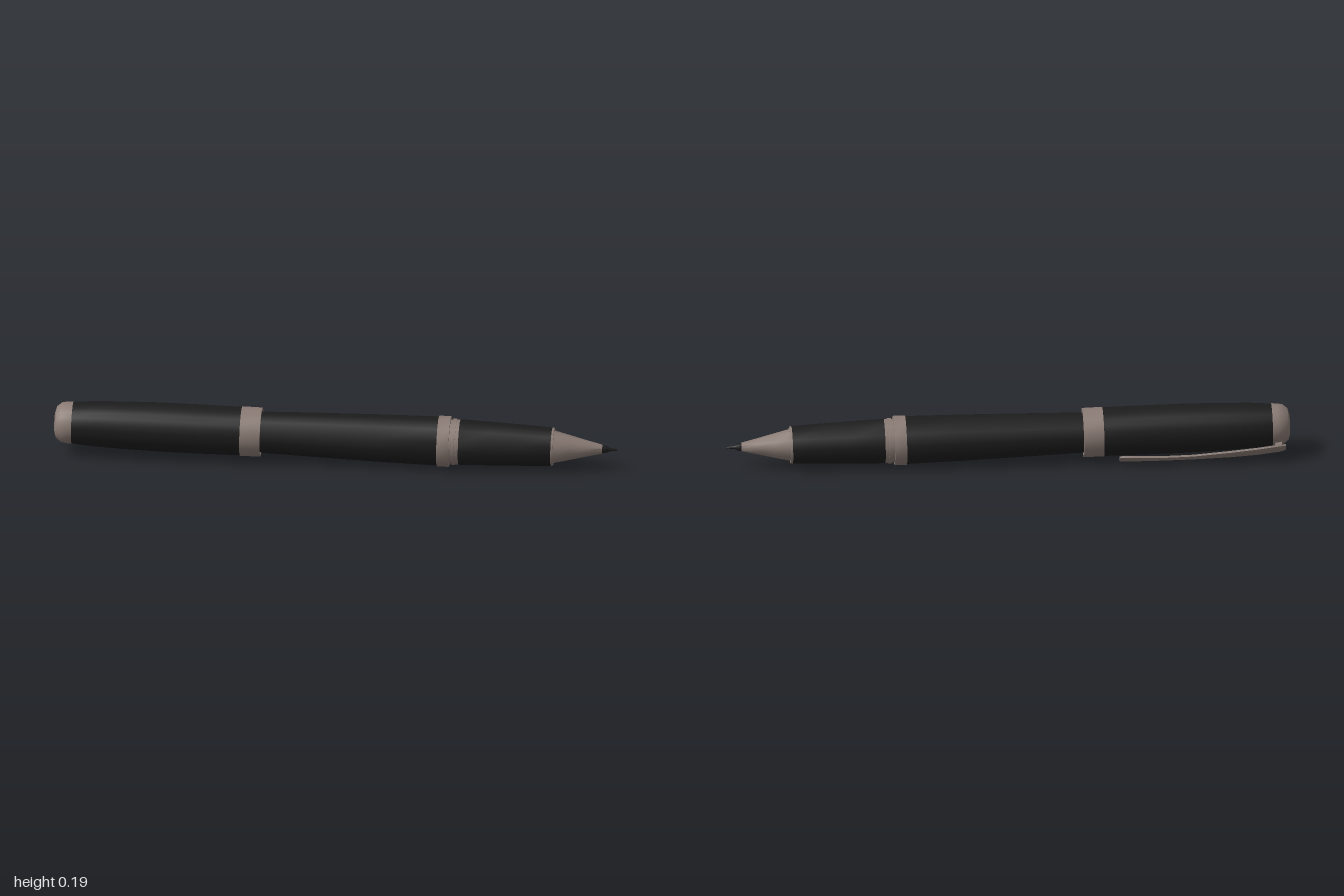
import * as THREE from 'three';
import { toCreasedNormals } from 'three/addons/utils/BufferGeometryUtils.js';

const black = new THREE.MeshStandardMaterial({ color: 0x1c1c1c });
const metal = new THREE.MeshStandardMaterial({ color: 0x8a7b74 });

// Turned part: points are [position along the pen, radius]
function turned(name, points, material, sides) {
  const profile = points.map(([t, r]) => new THREE.Vector2(r, t));
  const geometry = toCreasedNormals(new THREE.LatheGeometry(profile, sides), 0.6);
  const mesh = new THREE.Mesh(geometry, material);
  mesh.name = name;
  return mesh;
}

// Bowed, waisted strip running along the cap
function clipStrip() {
  const t = [-0.98, -0.96, -0.88, -0.78, -0.65, -0.55, -0.46, -0.41, -0.39];
  const radius = [0.088, 0.093, 0.101, 0.106, 0.109, 0.109, 0.107, 0.106, 0.105];
  const half = [0.026, 0.034, 0.033, 0.028, 0.018, 0.017, 0.022, 0.024, 0.021];
  const rows = t.length - 1;
  const geometry = new THREE.BoxGeometry(1, 1, 1, 4, rows, 1);
  const p = geometry.attributes.position;
  for (let i = 0; i < p.count; i++) {
    const row = Math.round((p.getY(i) + 0.5) * rows);
    const x = p.getX(i) * 2 * half[row];
    p.setXYZ(i, x, t[row], radius[row] + p.getZ(i) * 0.007 - x * x * 4);
  }
  const mesh = new THREE.Mesh(toCreasedNormals(geometry, 0.6), metal);
  mesh.name = 'clipStrip';
  return mesh;
}

export function createModel() {
  const pen = new THREE.Group();
  pen.name = 'pen';

  // Cap
  pen.add(
    turned('capEnd', [[-1, 0], [-0.998, 0.035], [-0.992, 0.056], [-0.975, 0.07], [-0.955, 0.074], [-0.935, 0.075]], metal, 24),
    turned('cap', [[-0.935, 0.074], [-0.86, 0.08], [-0.76, 0.084], [-0.62, 0.087], [-0.48, 0.087], [-0.335, 0.086]], black, 24),
    turned('capBand', [[-0.337, 0.084], [-0.337, 0.088], [-0.265, 0.087], [-0.265, 0.079], [-0.3, 0.078], [-0.3, 0.06]], metal, 24),
  );

  // Barrel, rings, grip and point
  pen.add(
    turned('barrel', [[-0.32, 0.071], [-0.265, 0.073], [-0.05, 0.079], [0.16, 0.084], [0.362, 0.087]], black, 12),
    turned('barrelRing', [[0.362, 0.085], [0.362, 0.09], [0.405, 0.09], [0.405, 0.078]], metal, 12),
    turned('ringGroove', [[0.405, 0.078], [0.413, 0.078]], metal, 12),
    turned('gripRing', [[0.413, 0.078], [0.413, 0.083], [0.426, 0.083], [0.426, 0.08], [0.438, 0.08], [0.438, 0.076]], metal, 12),
    turned('grip', [[0.438, 0.078], [0.438, 0.081], [0.55, 0.077], [0.66, 0.073], [0.765, 0.068]], black, 12),
    turned('gripRim', [[0.765, 0.068], [0.773, 0.067], [0.773, 0.056]], metal, 12),
    turned('nose', [[0.773, 0.058], [0.83, 0.044], [0.89, 0.029], [0.945, 0.016], [0.945, 0.01]], metal, 12),
    turned('tip', [[0.943, 0.008], [0.943, 0.015], [0.958, 0.013], [0.968, 0.007], [0.996, 0.003], [1, 0]], black, 12),
  );

  // Clip with the foot that joins it to the cap
  const clip = new THREE.Group();
  clip.name = 'clip';
  const foot = new THREE.Mesh(new THREE.BoxGeometry(0.034, 0.024, 0.034), metal);
  foot.name = 'clipFoot';
  foot.position.set(0, -0.955, 0.076);
  clip.add(clipStrip(), foot);
  clip.rotation.y = THREE.MathUtils.degToRad(-57);
  pen.add(clip);

  // Lay the pen down, slightly tilted
  const axis = new THREE.Vector3(1, -0.018, -0.012).normalize();
  const phase = THREE.MathUtils.degToRad(8);
  const out = new THREE.Vector3(0, Math.sin(phase), -Math.cos(phase));
  const side = new THREE.Vector3().crossVectors(axis, out).normalize();
  out.crossVectors(side, axis);
  pen.quaternion.setFromRotationMatrix(new THREE.Matrix4().makeBasis(side, axis, out));
  pen.position.y = 0.0985;

  const model = new THREE.Group();
  model.add(pen);
  // Rest the lowest point on the ground
  pen.position.y -= new THREE.Box3().setFromObject(model, true).min.y;
  return model;
}
